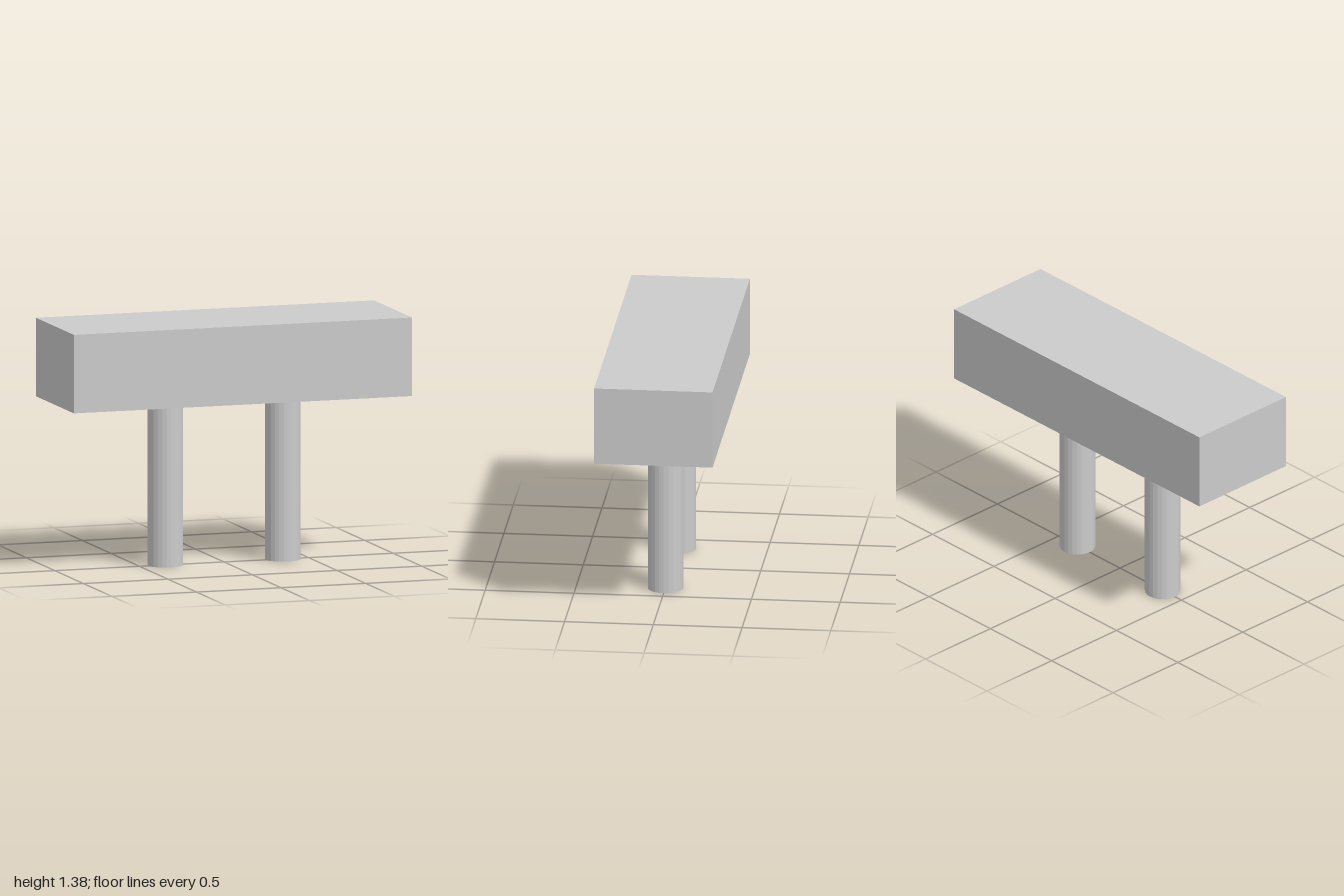
import * as THREE from 'three';

const LEG_HEIGHT = 0.94;
const BLOCK_HEIGHT = 0.445;

export function createModel() {
  const model = new THREE.Group();
  const material = new THREE.MeshStandardMaterial({ color: 0xcccccc, flatShading: true });

  // Long block resting on the legs
  const block = new THREE.Mesh(new THREE.BoxGeometry(2, BLOCK_HEIGHT, 0.667), material);
  block.name = 'block';
  block.position.y = LEG_HEIGHT + BLOCK_HEIGHT / 2;
  model.add(block);

  // Pair of round legs, mirrored about the centre
  const legGeometry = new THREE.CylinderGeometry(0.1, 0.1, LEG_HEIGHT, 24);
  for (const [name, side] of [['leftLeg', 1], ['rightLeg', -1]]) {
    const leg = new THREE.Mesh(legGeometry, material);
    leg.name = name;
    leg.position.set(side * 0.347, LEG_HEIGHT / 2, 0);
    model.add(leg);
  }

  return model;
}
